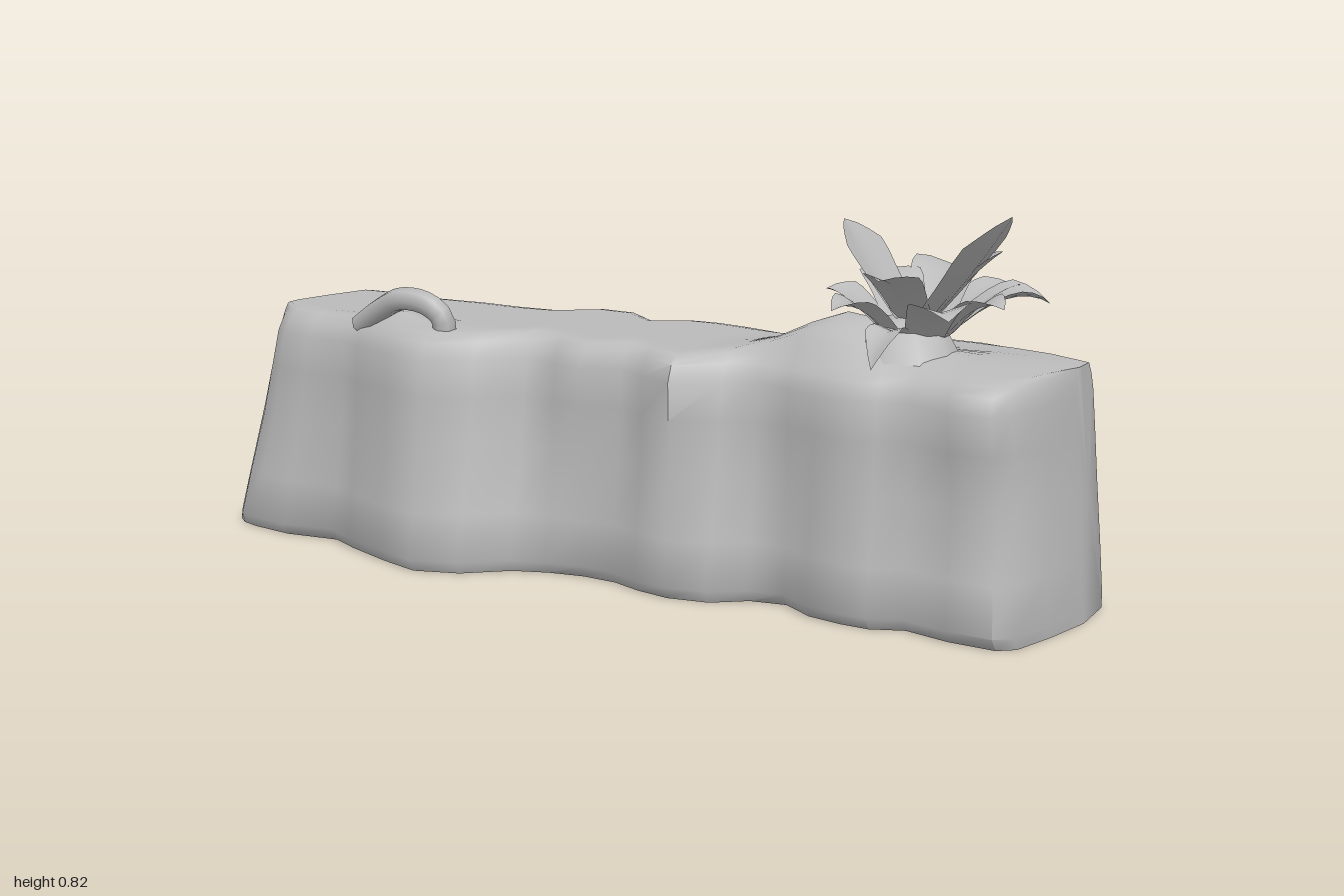
import * as THREE from 'three';
import { toCreasedNormals } from 'three/addons/utils/BufferGeometryUtils.js';

// Stations along the wall: x, front z at foot and shoulder, back z at foot and shoulder
const STATIONS = [
  [-1, 0.11, 0.05, 0.0, -0.02], [-0.97, 0.15, 0.09, -0.15, -0.13], [-0.92, 0.17, 0.12, -0.28, -0.25],
  [-0.82, 0.19, 0.14, -0.29, -0.25], [-0.69, 0.18, 0.14, -0.26, -0.23], [-0.62, 0.22, 0.17, -0.245, -0.22],
  [-0.5, 0.275, 0.22, -0.24, -0.22], [-0.4, 0.312, 0.25, -0.245, -0.21], [-0.3, 0.285, 0.19, -0.25, -0.21],
  [-0.21, 0.215, 0.12, -0.3, -0.27], [-0.13, 0.19, 0.14, -0.28, -0.26], [-0.05, 0.18, 0.18, -0.22, -0.19],
  [0.03, 0.19, 0.14, -0.255, -0.23], [0.1, 0.22, 0.18, -0.255, -0.23], [0.18, 0.24, 0.22, -0.23, -0.21],
  [0.27, 0.23, 0.15, -0.195, -0.18], [0.34, 0.18, 0.13, -0.19, -0.18], [0.42, 0.17, 0.16, -0.23, -0.2],
  [0.49, 0.22, 0.19, -0.26, -0.24], [0.57, 0.24, 0.21, -0.28, -0.26], [0.63, 0.245, 0.2, -0.31, -0.28],
  [0.7, 0.22, 0.18, -0.28, -0.27], [0.8, 0.25, 0.23, -0.25, -0.24], [0.9, 0.26, 0.24, -0.22, -0.2],
  [0.935, 0.235, 0.21, -0.2, -0.18], [0.97, 0.13, 0.11, -0.18, -0.16], [1, 0.0, -0.01, -0.14, -0.12],
];

const mix = THREE.MathUtils.lerp;
const step = THREE.MathUtils.smoothstep;

// Ends lean inward with height
function lean(x, y) {
  const k = y / 0.5;
  if (x < -0.6) return x + 0.1 * k * (-x - 0.6) / 0.4;
  if (x > 0.6) return x - 0.035 * k * (x - 0.6) / 0.4;
  return x;
}

// Height of the top, with the mound beside the plant and low swellings towards the ends
function topHeight(x, z) {
  const mound = (cx, cz, sx, sz, h) => h * Math.exp(-(((x - cx) / sx) ** 2) - ((z - cz) / sz) ** 2);
  return 0.515 + mound(0.51, 0.03, 0.15, 0.1, 0.09) + mound(-0.56, 0.14, 0.08, 0.06, 0.05)
    + mound(0.84, 0.02, 0.14, 0.16, 0.02);
}

// One closed cross-section: up the front, over the top, down the back, along the underside
function section([x, f0, f1, b0, b1]) {
  const levels = [[0.003, 0.02], [0.03, 0], [0.13, 0.002], [0.27, 0.01], [0.38, 0.004], [0.46, 0], [0.495, 0.014], [0.512, 0.035]];
  const width = Math.min(1, (f1 - b1) / 0.25);
  const waist = 0.022 * step(x, 0.6, 0.8);
  // The back of the middle lobes is undercut at the foot
  const undercut = 0.04 * step(x, -0.7, -0.55) * (1 - step(x, 0.3, 0.45));
  const pts = [];
  for (const [y, inset] of levels) {
    const pinch = waist * Math.exp(-(((y - 0.27) / 0.12) ** 2));
    pts.push([y, mix(f0, f1, y / 0.48) - (inset + pinch) * width]);
  }
  const zf = pts[pts.length - 1][1];
  const zb = b1 + 0.035 * width;
  for (let i = 1; i < 13; i++) {
    const z = mix(zf, zb, i / 13);
    pts.push([topHeight(x, z), z]);
  }
  for (const [y, inset] of [...levels].reverse()) {
    const cut = undercut * Math.max(0, 1 - y / 0.1);
    pts.push([y, mix(b0, b1, (y / 0.48) ** 2) + inset * width + cut]);
  }
  return pts.map(([y, z]) => [lean(x, y), y, z]);
}

function wallGeometry() {
  const rings = STATIONS.map(section);
  // Collapsed rings close both ends
  const closed = (ring) => {
    const y = 0.25;
    const z = ring.reduce((s, p) => s + p[2], 0) / ring.length;
    const x = lean(Math.sign(ring[0][0]), y);
    return ring.map(() => [x, y, z]);
  };
  rings.unshift(closed(rings[0]));
  rings.push(closed(rings[rings.length - 1]));
  const n = rings[0].length;
  const last = rings.length - 2;
  const index = [];
  for (let i = 0; i <= last; i++) {
    for (let j = 0; j < n; j++) {
      const a = i * n + j, d = i * n + (j + 1) % n;
      const b = a + n, c = d + n;
      if (i === 0) index.push(a, b, c);
      else if (i === last) index.push(a, b, d);
      else index.push(a, b, c, a, c, d);
    }
  }
  const geo = new THREE.BufferGeometry();
  geo.setAttribute('position', new THREE.Float32BufferAttribute(rings.flat(2), 3));
  geo.setIndex(index);
  return toCreasedNormals(geo, 1.0);
}

// Pointed leaf, folded along its midrib and arching from base to tip
function leafGeometry(base, tip, arch, width) {
  const mid = base.clone().lerp(tip, 0.6);
  mid.y += arch;
  const curve = new THREE.QuadraticBezierCurve3(base, mid, tip);
  const out = tip.clone().sub(base).setY(0).normalize();
  const side = new THREE.Vector3(-out.z, 0, out.x);
  const geo = new THREE.PlaneGeometry(1, 1, 4, 8);
  const pos = geo.attributes.position;
  for (let i = 0; i < pos.count; i++) {
    const s = pos.getX(i) * 2;
    const t = pos.getY(i) + 0.5;
    const half = 0.5 * width * (t < 0.6 ? mix(0.65, 1, t / 0.6) : Math.pow((1 - t) / 0.4, 0.8));
    const p = curve.getPoint(t).addScaledVector(side, s * half);
    p.y += Math.abs(s) * half * 0.3;
    pos.setXYZ(i, p.x, p.y, p.z);
  }
  geo.computeVertexNormals();
  return geo;
}

export function createModel() {
  const model = new THREE.Group();
  model.name = 'wallWithPlant';
  const stone = new THREE.MeshStandardMaterial({ color: 0xbbbbbb, side: THREE.DoubleSide });
  stone.name = 'plain grey';
  const add = (name, geo, parent = model) => {
    const mesh = new THREE.Mesh(geo, stone);
    mesh.name = name;
    parent.add(mesh);
    return mesh;
  };

  add('wall', wallGeometry());

  // Thick looped root arching over the left shoulder
  const loop = new THREE.CatmullRomCurve3([
    [-0.63, 0.5, 0.13], [-0.56, 0.545, 0.15], [-0.5, 0.572, 0.165], [-0.43, 0.568, 0.17], [-0.395, 0.54, 0.165], [-0.39, 0.49, 0.16],
  ].map((p) => new THREE.Vector3(...p)));
  add('rootLoop', new THREE.TubeGeometry(loop, 16, 0.026, 7));

  // Plant: low crown with two tiers of leaves
  const plant = new THREE.Group();
  plant.name = 'plant';
  model.add(plant);
  const crown = new THREE.LatheGeometry(
    [[0.13, 0.5], [0.105, 0.54], [0.085, 0.575], [0.05, 0.6], [0, 0.605]].map((p) => new THREE.Vector2(...p)), 10);
  add('crown', crown, plant).position.set(0.62, 0, 0.03);

  // Leaf tips: x, y, z, arch, width
  const upper = [
    [0.47, 0.79, 0.0, 0.0, 0.16], [0.84, 0.82, 0.04, -0.02, 0.2], [0.8, 0.74, -0.03, 0.02, 0.12],
    [0.65, 0.71, 0.26, 0.05, 0.12],
  ];
  const lower = [
    [0.88, 0.63, -0.1, 0.08, 0.16], [0.45, 0.65, 0.04, 0.03, 0.15], [0.52, 0.63, 0.18, 0.06, 0.13],
    [0.78, 0.635, 0.22, 0.07, 0.13], [0.62, 0.65, -0.3, 0.11, 0.16], [0.8, 0.63, -0.2, 0.08, 0.13],
    [0.49, 0.66, -0.16, 0.06, 0.14], [0.61, 0.52, 0.19, 0.1, 0.08], [0.84, 0.64, 0.07, 0.06, 0.13],
  ];
  const tier = (leaves, y0, spread) => {
    for (const [x, y, z, arch, width] of leaves) {
      const out = new THREE.Vector3(x - 0.64, 0, z - 0.015).setLength(spread);
      const base = new THREE.Vector3(0.64, y0, 0.015).add(out);
      add('leaf', leafGeometry(base, new THREE.Vector3(x, y, z), arch, width), plant);
    }
  };
  tier(upper, 0.59, 0.025);
  tier(lower, 0.56, 0.06);
  return model;
}
